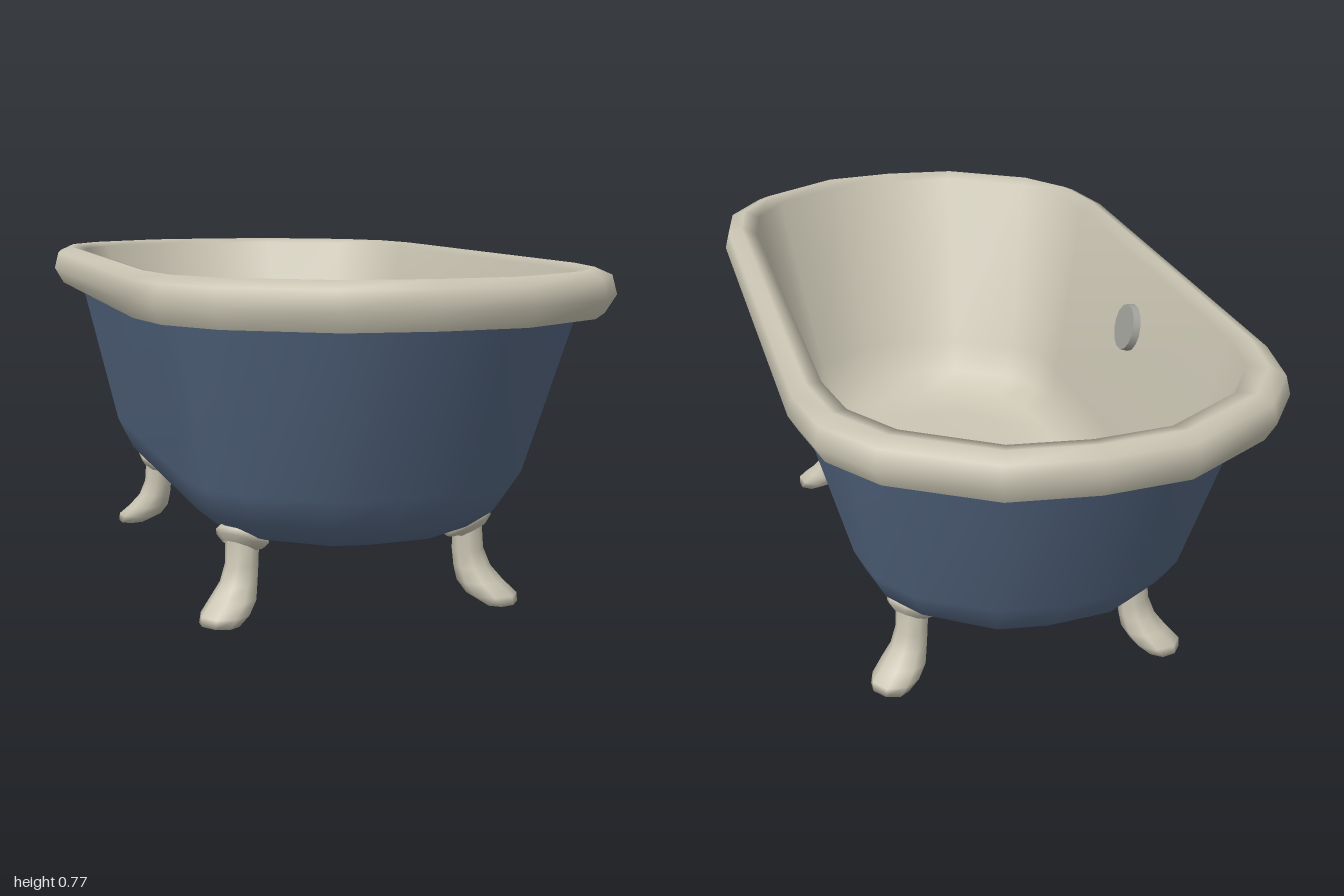
import * as THREE from 'three';

const material = (name, color) => new THREE.MeshStandardMaterial({ name, color });

// Skins rings of [x, z] outline points; each section is [scaleX, scaleZ, y, offsetX]
function loft(outline, sections) {
  const n = outline.length, positions = [], index = [];
  sections.forEach(([sx, sz, y, dx = 0], j) => {
    outline.forEach(([x, z], i) => {
      positions.push(x * sx + dx, y, z * sz);
      if (j === sections.length - 1) return;
      const a = j * n + i, b = j * n + (i + 1) % n;
      index.push(a, a + n, b, b, a + n, b + n);
    });
  });
  const geometry = new THREE.BufferGeometry();
  geometry.setAttribute('position', new THREE.Float32BufferAttribute(positions, 3));
  geometry.setIndex(index);
  geometry.computeVertexNormals();
  return geometry;
}

// Unit tub outline: straight sides with faceted round ends
function tubOutline() {
  const quarter = [[1, 0.56], [0.945, 0.72], [0.775, 0.85], [0.37, 0.98]];
  const back = quarter.slice().reverse();
  return [
    ...quarter, [0, 1],
    ...back.map(([x, z]) => [-x, z]),
    ...quarter.map(([x, z]) => [-x, -z]), [0, -1],
    ...back.map(([x, z]) => [x, -z]),
  ];
}

export function createModel() {
  const enamel = material('cream enamel', 0xcbc6b4);
  enamel.side = THREE.DoubleSide;
  const paint = material('blue paint', 0x576a86);
  const metal = material('grey metal', 0xa3a39d);

  const group = new THREE.Group();
  const add = (parent, name, geometry, mat) => {
    const mesh = new THREE.Mesh(geometry, mat);
    mesh.name = name;
    parent.add(mesh);
    return mesh;
  };

  // Painted shell, running up inside the hollow rolled rim
  const outline = tubOutline();
  add(group, 'outerShell', loft(outline, [
    [0, 0, 0.162], [0.22, 0.56, 0.162], [0.3, 0.66, 0.189], [0.35, 0.72, 0.232],
    [0.385, 0.775, 0.307], [0.482, 0.953, 0.755],
  ]), paint);
  // Enamel lining: open lip, rounded rim top, wall and floor in one skin
  add(group, 'rimAndBasin', loft(outline, [
    [0.511, 0.982, 0.675], [0.533, 1, 0.715], [0.523, 0.992, 0.757],
    [0.49, 0.962, 0.773], [0.453, 0.915, 0.762],
    [0.358, 0.715, 0.33], [0.332, 0.66, 0.255], [0.285, 0.595, 0.208],
    [0.2, 0.5, 0.193], [0, 0, 0.193],
  ]), enamel);

  // Drain in the floor and overflow plate on the side wall
  const drain = add(group, 'drain', new THREE.CylinderGeometry(0.045, 0.053, 0.012, 8), metal);
  drain.position.set(0, 0.199, -0.465);
  const hole = add(group, 'drainHole', new THREE.CylinderGeometry(0.022, 0.022, 0.004, 8), paint);
  hole.position.set(0, 0.206, -0.465);
  const overflow = add(group, 'overflowPlate', new THREE.CylinderGeometry(0.058, 0.06, 0.02, 14), metal);
  overflow.position.set(-0.409, 0.605, 0);
  overflow.rotation.z = 0.23 - Math.PI / 2;

  // Four feet, each pointing diagonally outwards
  const octagon = Array.from({ length: 8 }, (_, i) => {
    const a = (i + 0.5) * Math.PI / 4;
    return [Math.cos(a) * 1.06, Math.sin(a) * 1.06];
  });
  const legGeometry = loft(octagon, [
    [0, 0, 0, 0.08], [0.037, 0.046, 0, 0.08], [0.055, 0.052, 0.02, 0.06],
    [0.05, 0.05, 0.048, 0.032], [0.04, 0.041, 0.08, 0.013],
    [0.034, 0.037, 0.12, 0.002], [0.031, 0.039, 0.18, 0],
  ]);
  const collarGeometry = loft(octagon, [
    [0.034, 0.038, -0.022], [0.052, 0.054, -0.01], [0.058, 0.06, 0.002],
    [0.052, 0.054, 0.012], [0, 0, 0.014],
  ]);
  for (const sx of [1, -1]) {
    for (const sz of [1, -1]) {
      const foot = new THREE.Group();
      foot.name = `${sz > 0 ? 'front' : 'back'}${sx > 0 ? 'Left' : 'Right'}Foot`;
      foot.position.set(sx * 0.266, 0, sz * 0.483);
      foot.rotation.y = Math.atan2(-sz * 0.6, sx * 0.8);
      add(foot, 'leg', legGeometry, enamel);
      const collar = add(foot, 'collar', collarGeometry, enamel);
      collar.position.y = 0.181;
      collar.rotation.z = 0.5;
      group.add(foot);
    }
  }
  return group;
}
